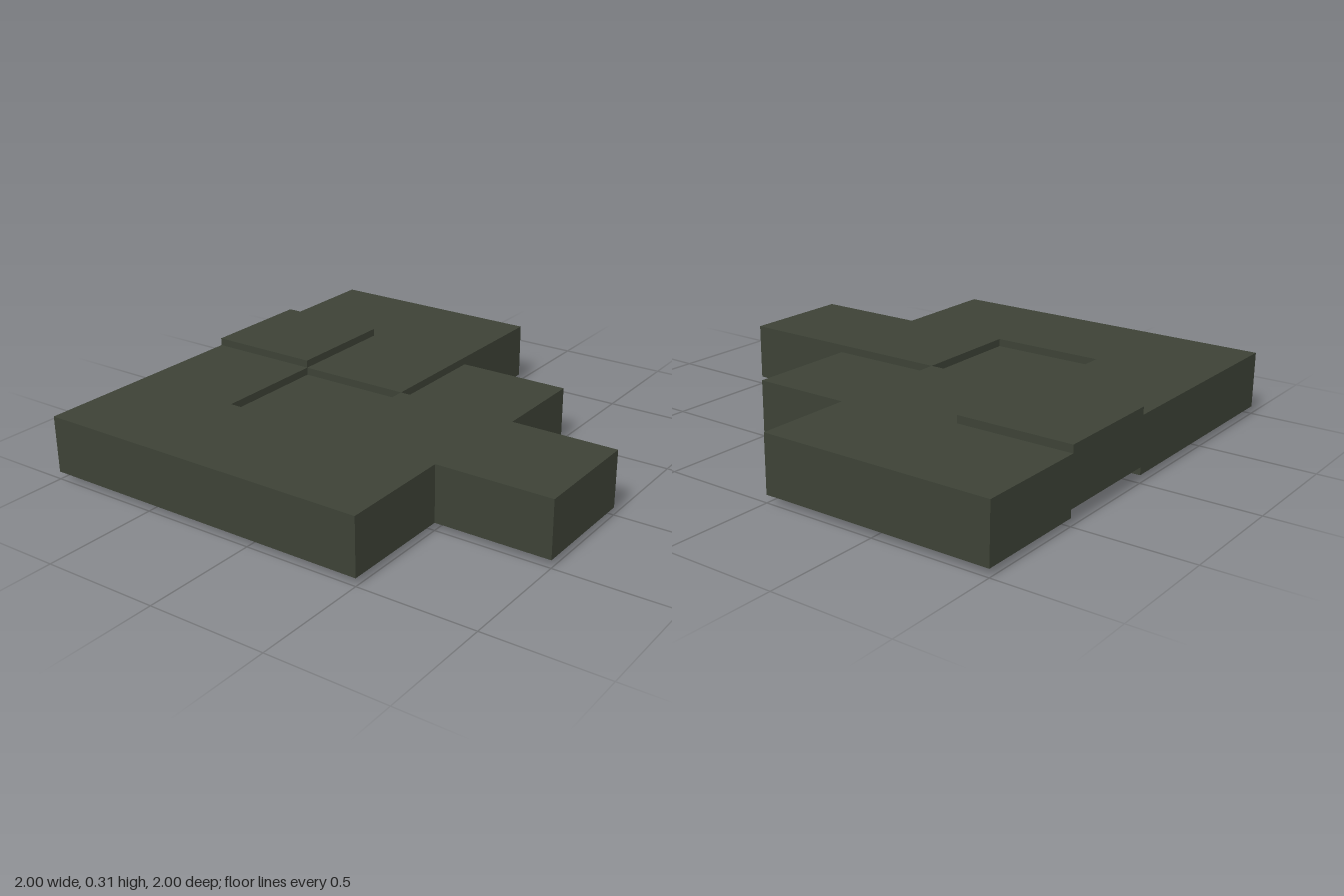
import * as THREE from 'three';

const TILE = 0.5;      // tile footprint
const HEIGHT = 0.245;  // tile depth
const STEP = 0.033;    // offset between height levels

// Height level of each tile, rows from back to front, columns from -x to +x
const LEVELS = [
  [1, 1],
  [2, 1, 0],
  [1, 0, 1, 1],
  [1, 1, 1],
];

// Thin-walled box without a bottom
function openTile() {
  const geometry = new THREE.BoxGeometry(TILE, HEIGHT, TILE);
  const index = Array.from(geometry.index.array);
  index.splice(18, 6); // drop the downward face
  geometry.setIndex(index);
  geometry.clearGroups();
  return geometry;
}

export function createModel() {
  const model = new THREE.Group();
  model.name = 'steppedTiles';

  const darkOlive = new THREE.MeshStandardMaterial({ color: 0x3d4236 });
  darkOlive.name = 'darkOlive';
  darkOlive.side = THREE.DoubleSide;

  const geometry = openTile();
  LEVELS.forEach((levels, row) => levels.forEach((level, column) => {
    const tile = new THREE.Mesh(geometry, darkOlive);
    tile.name = ['loweredTile', 'tile', 'raisedTile'][level];
    tile.position.set(
      -1 + TILE * (column + 0.5),
      HEIGHT / 2 + STEP * level,
      -1 + TILE * (row + 0.5),
    );
    model.add(tile);
  }));

  return model;
}
